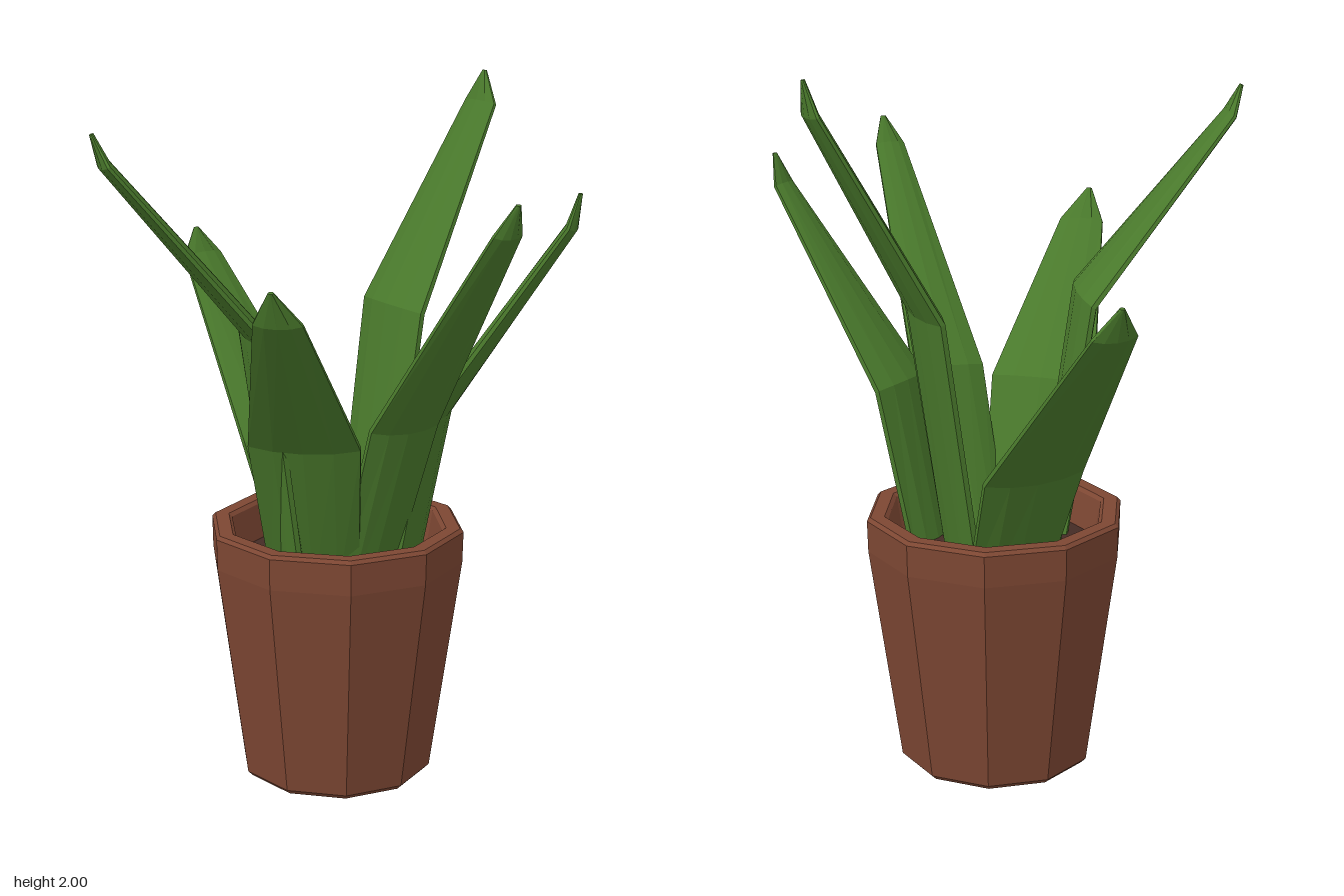
import * as THREE from 'three';

const V = (p) => new THREE.Vector3(...p);

// Flattened cross-section: [across the width, through the thickness]
const SECTION = [
  [0.5, 0.12], [0.27, 0.4], [0, 0.5], [-0.27, 0.4], [-0.5, 0.12],
  [-0.5, -0.12], [-0.27, -0.4], [0, -0.5], [0.27, -0.4], [0.5, -0.12],
];
const THICKNESS = [0.065, 0.058, 0.035, 0.012];

// Leaf swept through base, bend, shoulder and tip; side is the horizontal [x, z] width direction
function leafGeometry({ path, widths, side }) {
  const pts = path.map(V);
  const across = new THREE.Vector3(side[0], 0, side[1]).normalize();
  const n = SECTION.length;
  const pos = [];
  const index = [];
  pts.forEach((p, i) => {
    const tangent = pts[Math.min(i + 1, pts.length - 1)].clone()
      .sub(pts[Math.max(i - 1, 0)]).normalize();
    const normal = tangent.clone().cross(across).normalize();
    for (const [u, v] of SECTION) {
      const q = p.clone()
        .addScaledVector(across, u * widths[i])
        .addScaledVector(normal, v * THICKNESS[i]);
      pos.push(q.x, q.y, q.z);
    }
    if (i === pts.length - 1) return;
    for (let j = 0; j < n; j++) {
      const a = i * n + j, b = i * n + (j + 1) % n;
      index.push(a, b, b + n, a, b + n, a + n);
    }
  });
  // Close the tip
  const last = (pts.length - 1) * n;
  for (let j = 1; j < n - 1; j++) index.push(last, last + j, last + j + 1);
  const geo = new THREE.BufferGeometry();
  geo.setAttribute('position', new THREE.Float32BufferAttribute(pos, 3));
  geo.setIndex(index);
  geo.computeVertexNormals();
  return geo;
}

const LEAVES = {
  backLeaf: {
    path: [[0, 0.6, -0.19], [-0.005, 1.35, -0.31], [0.025, 1.91, -0.62], [0.02, 2, -0.64]],
    widths: [0.26, 0.29, 0.14, 0.015], side: [1, 0.17],
  },
  frontLeaf: {
    path: [[-0.01, 0.6, 0.08], [-0.02, 1.34, 0.2], [-0.13, 1.83, 0.61], [-0.14, 1.91, 0.64]],
    widths: [0.28, 0.33, 0.13, 0.015], side: [0.9, 0.42],
  },
  rightLeaf: {
    path: [[-0.16, 0.6, -0.14], [-0.29, 0.935, -0.14], [-0.7, 1.42, -0.165], [-0.73, 1.5, -0.165]],
    widths: [0.25, 0.3, 0.13, 0.015], side: [-0.08, 1],
  },
  leftLeaf: {
    path: [[0.14, 0.6, -0.06], [0.29, 1.09, -0.07], [0.7, 1.68, -0.025], [0.73, 1.76, -0.03]],
    widths: [0.18, 0.21, 0.085, 0.015], side: [-0.25, 0.97],
  },
  backLeftLeaf: {
    path: [[0.15, 0.6, -0.21], [0.23, 1.09, -0.26], [0.53, 1.63, -0.46], [0.54, 1.72, -0.48]],
    widths: [0.18, 0.23, 0.08, 0.015], side: [0.45, 0.89],
  },
  frontLeftLeaf: {
    path: [[0.05, 0.6, 0.04], [0.15, 1.05, 0.17], [0.345, 1.46, 0.43], [0.365, 1.55, 0.47]],
    widths: [0.25, 0.31, 0.13, 0.015], side: [0.77, -0.64],
  },
};

export function createModel() {
  const group = new THREE.Group();
  const material = (color) => new THREE.MeshStandardMaterial({ color, flatShading: true });
  const addPart = (name, geo, mat) => {
    const mesh = new THREE.Mesh(geo, mat);
    mesh.name = name;
    group.add(mesh);
    return mesh;
  };
  const potZ = -0.085;

  // Ten-sided tapered pot with an upright rim and a hollow mouth
  const profile = [
    [0, 0], [0.265, 0], [0.28, 0.015], [0.368, 0.65], [0.37, 0.74],
    [0.36, 0.75], [0.32, 0.75], [0.31, 0.74], [0.285, 0.6],
  ].map(([r, y]) => new THREE.Vector2(r, y));
  const pot = addPart('pot', new THREE.LatheGeometry(profile, 10, Math.PI / 2), material(0x7d4733));
  pot.position.z = potZ;

  // Soil inside the pot
  const soil = addPart('soil', new THREE.CylinderGeometry(0.293, 0.28, 0.04, 10, 1, false, Math.PI / 2),
    material(0x432b25));
  soil.position.set(0, 0.62, potZ);

  // Six leaves fanning out of the soil
  const green = material(0x4a7a2c);
  for (const [name, spec] of Object.entries(LEAVES)) addPart(name, leafGeometry(spec), green);

  return group;
}
